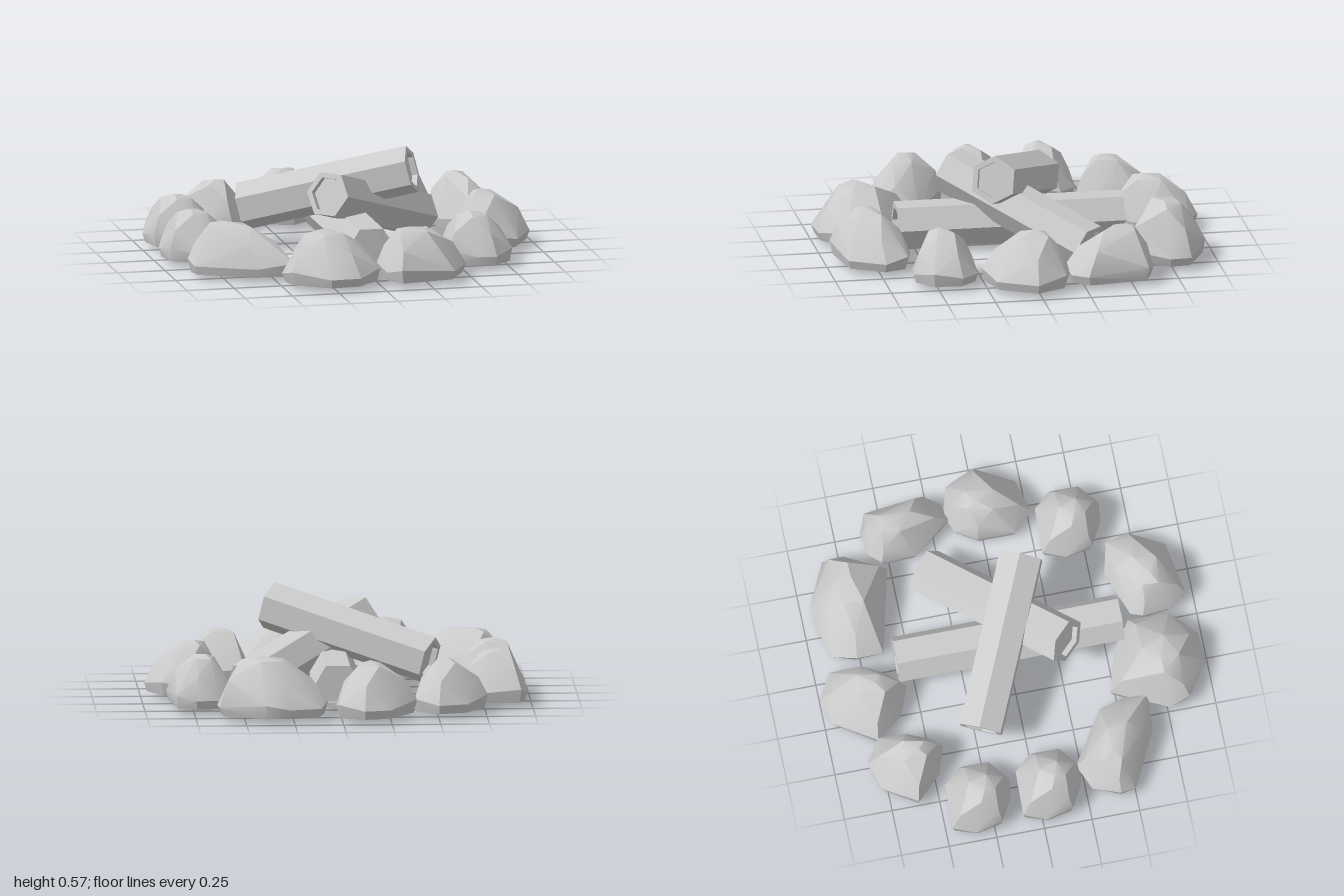
import * as THREE from 'three';
import { ConvexGeometry } from 'three/addons/geometries/ConvexGeometry.js';
import { toCreasedNormals } from 'three/addons/utils/BufferGeometryUtils.js';

const stoneMaterial = new THREE.MeshStandardMaterial({ color: 0xcccccc });
const logMaterial = new THREE.MeshStandardMaterial({ color: 0xcccccc, flatShading: true });
const BASE = 0.03;

// Boulder: a ground outline [x, z] narrowing in uneven steps towards an off-centre peak
function makeStone(name, outline, peak, height) {
  const points = [];
  const [px, pz] = peak;
  const cx = outline.reduce((s, p) => s + p[0], 0) / outline.length;
  const cz = outline.reduce((s, p) => s + p[1], 0) / outline.length;
  const add = ([x, z], ox, oz, scale, y) =>
    points.push(new THREE.Vector3(ox + (x - ox) * scale, y, oz + (z - oz) * scale));
  const rise = height - BASE;
  outline.forEach((p, i) => {
    add(p, cx, cz, 0.93, BASE);                    // flat underside
    add(p, cx, cz, 1, i % 3 === 0 ? 0.1 : 0.075);  // widest rim
    if (i % 2 === 0) add(p, px, pz, 0.77, BASE + rise * 0.62); // shoulders
    else add(p, px, pz, 0.4, BASE + rise * 0.93);              // crown
  });
  points.push(new THREE.Vector3(px, height, pz));
  const mesh = new THREE.Mesh(toCreasedNormals(new ConvexGeometry(points), 0.5), stoneMaterial);
  mesh.name = name;
  return mesh;
}

// Six-sided log with a recessed face at both ends
function makeLog(name, from, to, radius, roll) {
  const a = new THREE.Vector3(...from);
  const b = new THREE.Vector3(...to);
  const h = a.distanceTo(b) / 2;
  const inner = radius * 0.76;
  const depth = 0.03;
  const profile = [
    [0, -h + depth], [inner, -h + depth], [inner, -h], [radius, -h],
    [radius, h], [inner, h], [inner, h - depth], [0, h - depth],
  ].map(([r, y]) => new THREE.Vector2(r, y));
  const geometry = new THREE.LatheGeometry(profile, 6);
  geometry.rotateX(Math.PI / 2);
  geometry.rotateZ(roll);
  const mesh = new THREE.Mesh(geometry, logMaterial);
  mesh.position.copy(a).add(b).multiplyScalar(0.5);
  mesh.lookAt(b);
  mesh.name = name;
  return mesh;
}

export function createModel() {
  const model = new THREE.Group();
  model.name = 'campfire';

  // Ring of stones
  const stones = new THREE.Group();
  stones.name = 'stoneRing';
  const stone = (...args) => stones.add(makeStone(...args));
  stone('backLeftStone', [[0.07, -0.77], [0.11, -0.89], [0.27, -0.94], [0.4, -0.95],
    [0.63, -0.84], [0.64, -0.73], [0.52, -0.52], [0.08, -0.63]], [0.44, -0.73], 0.33);
  stone('backStone', [[-0.39, -0.75], [-0.25, -0.96], [-0.11, -1], [0.02, -0.93],
    [0.03, -0.78], [-0.03, -0.64], [-0.13, -0.55], [-0.28, -0.61]], [-0.15, -0.72], 0.3);
  stone('backRightStone', [[-0.76, -0.61], [-0.65, -0.78], [-0.5, -0.83], [-0.38, -0.75],
    [-0.38, -0.62], [-0.43, -0.48], [-0.49, -0.43], [-0.63, -0.48]], [-0.55, -0.57], 0.29);
  stone('frontRightStone', [[-0.73, 0.22], [-0.44, 0.4], [-0.4, 0.55], [-0.41, 0.66],
    [-0.6, 0.65], [-0.9, 0.5], [-0.92, 0.42], [-0.86, 0.28]], [-0.74, 0.41], 0.29);
  stone('frontStone', [[-0.37, 0.47], [-0.13, 0.54], [0.01, 0.64], [0, 0.85],
    [-0.13, 0.98], [-0.29, 0.99], [-0.47, 0.87], [-0.5, 0.76]], [-0.3, 0.75], 0.295);
  stone('frontLeftStone', [[0.01, 0.72], [0.04, 0.66], [0.28, 0.57], [0.44, 0.61],
    [0.48, 0.73], [0.38, 0.91], [0.09, 0.96], [0.03, 0.87]], [0.16, 0.79], 0.295);
  stone('leftStone', [[0.59, -0.03], [0.66, -0.14], [0.76, -0.18], [0.9, -0.14],
    [0.98, 0.02], [0.87, 0.22], [0.69, 0.27], [0.59, 0.17]], [0.72, -0.01], 0.3);
  stone('leftRearStone', [[0.56, -0.54], [0.62, -0.6], [0.74, -0.62], [0.84, -0.58],
    [0.88, -0.26], [0.82, -0.18], [0.72, -0.16], [0.57, -0.36]], [0.69, -0.48], 0.3);

  // Three smaller stones share one shape
  const small = [[-0.94, -0.47], [-0.69, -0.46], [-0.61, -0.37], [-0.62, -0.22],
    [-0.72, -0.13], [-0.82, -0.14], [-0.95, -0.21], [-0.98, -0.35]];
  for (const [name, dx, dz] of [['rightRearStone', 0, 0], ['rightStone', 0, 0.37],
    ['leftFrontStone', 1.39, 0.75]]) {
    stone(name, small.map(([x, z]) => [x + dx, z + dz]), [-0.83 + dx, -0.28 + dz], 0.29);
  }
  model.add(stones);

  // Logs stacked across each other
  const logs = new THREE.Group();
  logs.name = 'logs';
  const flatTop = Math.PI / 6;
  logs.add(
    makeLog('bottomLog', [0.01, 0.14, -0.58], [0.01, 0.14, 0.6], 0.125, flatTop),
    makeLog('middleLog', [0.47, 0.11, -0.33], [-0.15, 0.375, 0.29], 0.125, flatTop),
    makeLog('topLog', [-0.48, 0.22, -0.23], [0.33, 0.455, 0.145], 0.125, 0),
  );
  model.add(logs);
  return model;
}
